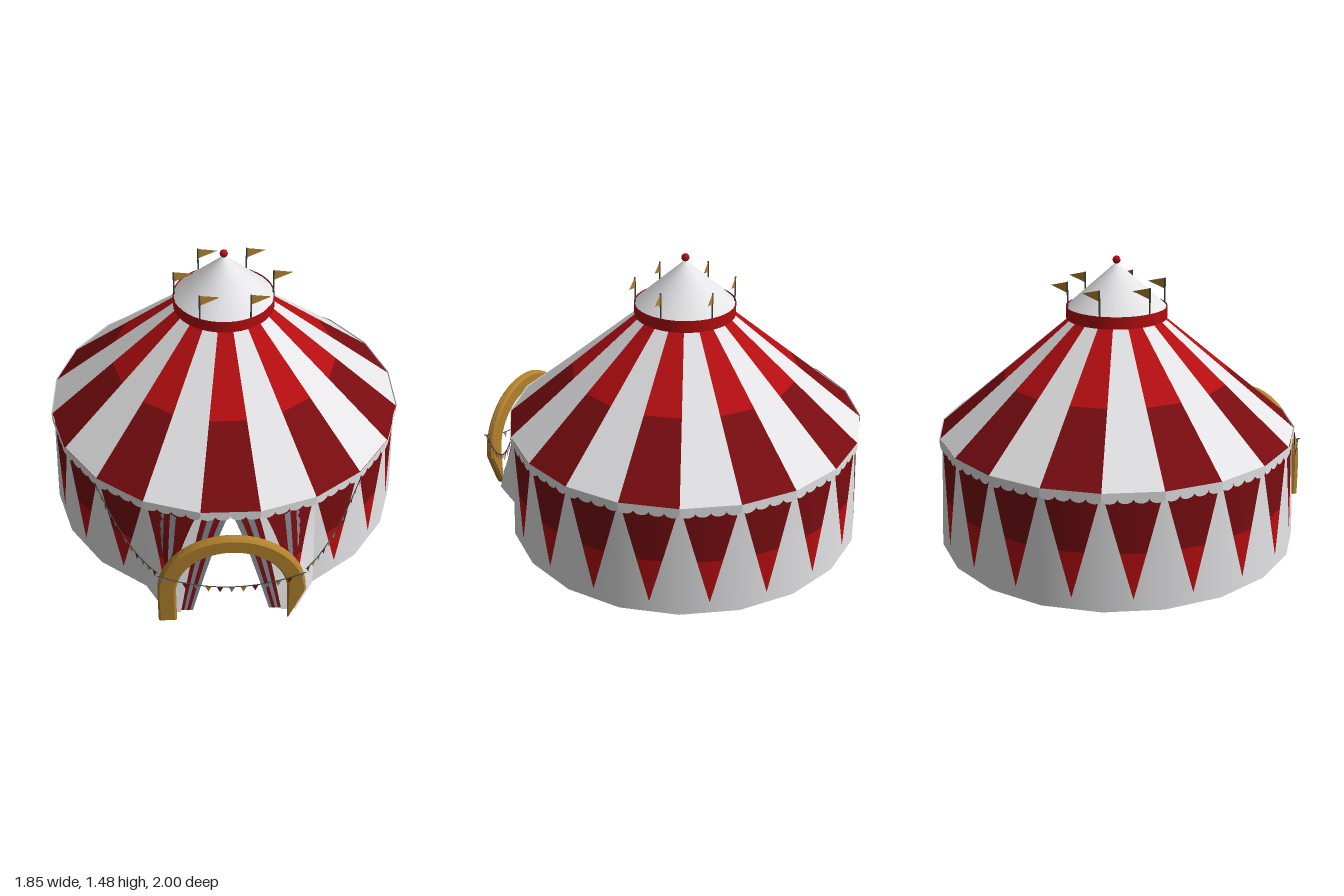
import * as THREE from 'three';
import { mergeGeometries } from 'three/addons/utils/BufferGeometryUtils.js';

const CZ = -0.075;            // tent axis
const N = 20;                 // sides of the tent
const STEP = (Math.PI * 2) / N;

const mat = (name, color, side = THREE.DoubleSide) => {
  const m = new THREE.MeshStandardMaterial({ color, side });
  m.name = name;
  return m;
};

export function createModel() {
  const M = {
    white: mat('white canvas', 0xe4e4e6),
    red: mat('bright red', 0xb40d10),
    dark: mat('dark red', 0x780c10),
    gold: mat('gold', 0xb3822d),
    grey: mat('grey cloth', 0x80868f),
    pole: mat('dark metal', 0x45464a),
  };
  const root = new THREE.Group();
  const add = (name, geo, material, parent = root) => {
    const m = new THREE.Mesh(geo, material);
    m.name = name;
    parent.add(m);
    return m;
  };

  // Cloth patch on surf(u, t), bounded by left(t) and right(t)
  const patch = (surf, left, right, t0, t1, rows, cols = 1, radial = false) => {
    const pos = [], idx = [], w = cols + 1;
    for (let j = 0; j <= rows; j++) {
      const t = t0 + ((t1 - t0) * j) / rows, a = left(t), b = right(t);
      for (let i = 0; i <= cols; i++) pos.push(...surf(a + ((b - a) * i) / cols, t));
    }
    for (let j = 0; j < rows; j++) for (let i = 0; i < cols; i++) {
      const a = j * w + i;
      idx.push(a, a + w, a + w + 1, a, a + w + 1, a + 1);
    }
    const g = new THREE.BufferGeometry();
    g.setAttribute('position', new THREE.Float32BufferAttribute(pos, 3));
    g.setIndex(idx);
    g.computeVertexNormals();
    if (radial) {
      const n = g.attributes.normal;
      for (let i = 0; i < n.count; i++) {
        const v = new THREE.Vector3(pos[i * 3], 0.02, pos[i * 3 + 2] - CZ).normalize();
        n.setXYZ(i, v.x, v.y, v.z);
      }
    }
    return g;
  };
  // Point on the flat side of a sector
  const sector = (k, rOf, yOf) => (u, t) => {
    const a = (k - 0.5) * STEP, b = (k + 0.5) * STEP, r = rOf(t);
    return [
      r * (Math.sin(a) * (1 - u) + Math.sin(b) * u), yOf(t),
      CZ + r * (Math.cos(a) * (1 - u) + Math.cos(b) * u),
    ];
  };
  const zero = () => 0, one = () => 1;

  // Striped roof
  const roof = { white: [], red: [], dark: [] };
  for (let k = 0; k < N; k++) {
    const s = sector(k, (t) => 0.22 + 0.7 * t, (t) => 1.18 - 0.595 * t);
    if (k % 2) roof.white.push(patch(s, zero, one, 0, 1, 1));
    else {
      roof.red.push(patch(s, zero, one, 0, 0.52, 1));
      roof.dark.push(patch(s, zero, one, 0.52, 1, 1));
    }
  }
  for (const c in roof) add(`${c} roof stripes`, mergeGeometries(roof[c]), M[c]);

  // Wall with pointed red pennants; the front three sectors are the doorway
  const wall = { white: [], red: [], dark: [] };
  const pennantPanel = (out, s, mid, half, end, radial) => {
    const w = (t) => half * Math.max(0, 1 - t / 0.9);
    const l = (t) => mid - w(t), r = (t) => mid + w(t);
    out.white.push(patch(s, zero, l, 0, 1, 10, 1, radial), patch(s, r, () => end, 0, 1, 10, 1, radial));
    out.dark.push(patch(s, l, r, 0, 0.5, 5, 1, radial));
    out.red.push(patch(s, l, r, 0.5, 0.9, 4, 1, radial));
  };
  for (let k = 2; k <= N - 2; k++) {
    pennantPanel(wall, sector(k, (t) => 0.91 + 0.026 * t, (t) => 0.575 * (1 - t)), 0.5, 0.48, 1, true);
  }
  for (const c in wall) add(`${c} wall`, mergeGeometries(wall[c]), M[c]);

  // Door flaps drawn forward and apart at the bottom, with striped lining
  const lerp = THREE.MathUtils.lerp;
  for (const s of [-1, 1]) {
    const flap = new THREE.Group();
    flap.name = s < 0 ? 'right door flap' : 'left door flap';
    root.add(flap);
    const surf = (off) => (u, t) => {
      const a = 1.5 * STEP * (1 - u), top = [0.91 * Math.sin(a), CZ + 0.91 * Math.cos(a)];
      const x0 = 0.936 * Math.sin(1.5 * STEP), z0 = CZ + 0.936 * Math.cos(1.5 * STEP);
      const f = Math.min(u / 0.3, 1), g = Math.max(0, (u - 0.3) / 0.7);
      const bx = u < 0.3 ? lerp(x0, 0.33, f) : lerp(0.33, 0.19, g);
      const bz = lerp(z0, 0.935, f);
      return [
        s * lerp(top[0], bx, Math.pow(t, 0.85)),
        0.575 * (1 - t),
        lerp(top[1], bz, t) - off,
      ];
    };
    const cloth = { white: [], red: [], dark: [] };
    pennantPanel(cloth, surf(0), 0.333, 0.31, 0.7, false);
    for (const c in cloth) add(`${c} flap cloth`, mergeGeometries(cloth[c]), M[c], flap);
    const lining = { grey: [], dark: [] };
    for (let i = 0; i < 12; i++) {
      const a = 0.1 + i * 0.075;
      lining[i % 2 ? 'grey' : 'dark'].push(patch(surf(0.01), () => a, () => a + 0.075, 0, 1, 10));
    }
    for (const c in lining) add(`${c} curtain stripes`, mergeGeometries(lining[c]), M[c], flap);
  }

  // Scalloped valance under the eave
  const R = 0.924, half = R * Math.sin(STEP / 2), sc = half / 4;
  const strip = new THREE.Shape();
  strip.moveTo(half, 0.59);
  strip.lineTo(-half, 0.59);
  strip.lineTo(-half, 0.56);
  for (let i = 0; i < 4; i++) {
    const x = -half + sc * (2 * i + 1);
    strip.absellipse(x, 0.56, sc, 0.024, Math.PI, Math.PI * 2, false);
  }
  const valance = [];
  for (let k = 0; k < N; k++) {
    valance.push(new THREE.ShapeGeometry(strip, 6)
      .translate(0, 0, R * Math.cos(STEP / 2)).rotateY(k * STEP).translate(0, 0, CZ));
  }
  add('scalloped valance', mergeGeometries(valance), M.white);

  // Crown: red band, white cone and ball
  add('crown band', new THREE.CylinderGeometry(0.257, 0.257, 0.062, 40, 1, true), M.red).position.set(0, 1.196, CZ);
  add('crown cone', new THREE.ConeGeometry(0.252, 0.225, 40, 1, true), M.white).position.set(0, 1.335, CZ);
  add('crown ball', new THREE.SphereGeometry(0.02, 16, 12), M.red).position.set(0, 1.458, CZ);

  // Triangle hanging or flying, as a thin face
  const triangle = (...pts) => {
    const g = new THREE.BufferGeometry().setFromPoints(pts);
    g.computeVertexNormals();
    return g;
  };
  const V = (x, y, z) => new THREE.Vector3(x, y, z);

  // Six pennants around the crown
  for (let i = 0; i < 6; i++) {
    const a = (i * Math.PI) / 3;
    const flag = new THREE.Group();
    flag.name = 'crown flag';
    flag.position.set(0.25 * Math.cos(a), 0, CZ + 0.25 * Math.sin(a));
    add('flag pole', new THREE.CylinderGeometry(0.004, 0.004, 0.17, 8), M.pole, flag).position.y = 1.27;
    add('pennant', triangle(V(0, 1.298, 0), V(0.1, 1.327, -0.026), V(0, 1.355, 0)), M.gold, flag);
    root.add(flag);
  }

  // Entrance arch
  const arch = new THREE.Shape();
  const ro = 0.35, ri = 0.28, cy = 0.2;
  arch.moveTo(ro, 0.01);
  arch.absarc(0, cy, ro, 0, Math.PI, false);
  arch.lineTo(-ro, 0.01);
  arch.lineTo(-ri, 0.01);
  arch.absarc(0, cy, ri, Math.PI, 0, true);
  arch.lineTo(ri, 0.01);
  arch.closePath();
  add('entrance arch', new THREE.ExtrudeGeometry(arch, {
    depth: 0.026, bevelEnabled: true, bevelThickness: 0.011, bevelSize: 0.01, bevelSegments: 1, curveSegments: 14,
  }), M.gold).position.z = 0.957;

  // Bunting garlands
  const garland = (a, b, c, n) => {
    const curve = new THREE.QuadraticBezierCurve3(a, b, c);
    const g = new THREE.Group();
    g.name = 'bunting';
    root.add(g);
    add('bunting cord', new THREE.TubeGeometry(curve, 24, 0.0025, 5), M.pole, g);
    const colours = [M.grey, M.gold, M.dark];
    for (let i = 0; i < n; i++) {
      const u = (i + 0.5) / n, p = curve.getPointAt(u), d = curve.getTangentAt(u).multiplyScalar(0.016);
      const tip = p.clone().add(V(0, -0.038, 0));
      add('bunting flag', triangle(p.clone().sub(d), tip, p.clone().add(d)), colours[i % 3], g);
    }
  };
  for (const s of [-1, 1]) garland(V(s * 0.66, 0.56, 0.575), V(s * 0.51, 0.26, 0.77), V(s * 0.355, 0.335, 0.975), 12);
  garland(V(-0.355, 0.335, 0.997), V(0, 0.155, 0.997), V(0.355, 0.335, 0.997), 13);

  return root;
}
